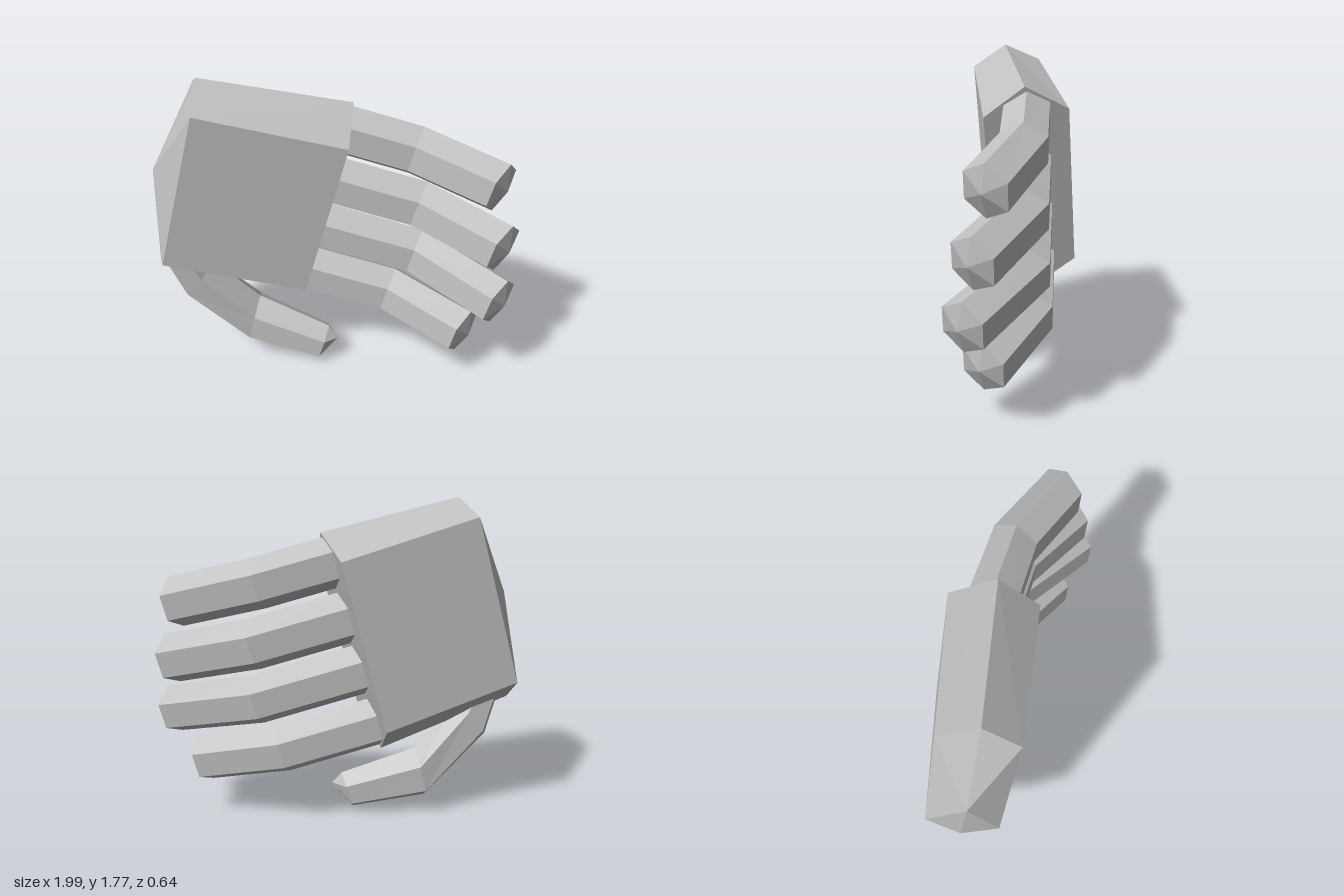
import * as THREE from 'three';

const V = (x, y, z) => new THREE.Vector3(x, y, z);

// Flat-shaded skin over a row of six-sided rings, closed by a point at each end
function loft(name, rings, startPoint, endPoint, material) {
  const corners = [];
  const n = rings[0].length;
  for (let i = 0; i < n; i++) {
    const j = (i + 1) % n;
    const last = rings[rings.length - 1];
    for (let k = 0; k < rings.length - 1; k++) {
      const a = rings[k], b = rings[k + 1];
      corners.push(a[i], a[j], b[i], a[j], b[j], b[i]);
    }
    corners.push(rings[0][j], rings[0][i], startPoint);
    corners.push(last[i], last[j], endPoint);
  }
  const geometry = new THREE.BufferGeometry().setFromPoints(corners);
  geometry.computeVertexNormals();
  const mesh = new THREE.Mesh(geometry, material);
  mesh.name = name;
  return mesh;
}

// Regular hexagon with one corner along "up"
function hexRing(center, up, side, radius) {
  return Array.from({ length: 6 }, (_, i) => {
    const t = (i * Math.PI) / 3;
    return center.clone()
      .addScaledVector(up, Math.cos(t) * radius)
      .addScaledVector(side, Math.sin(t) * radius);
  });
}

const Z = V(0, 0, 1);
const ALONG = V(0.966, -0.259, 0); // direction the fingers point
const UP = V(0.259, 0.966, 0);

// Finger bent forward at one knuckle
function finger(name, base, knee, tip, tilt, radius, material) {
  const ring = (center, degrees) => {
    const a = THREE.MathUtils.degToRad(degrees);
    const side = Z.clone().multiplyScalar(Math.cos(a)).addScaledVector(ALONG, -Math.sin(a));
    return hexRing(center, UP, side, radius);
  };
  const a = THREE.MathUtils.degToRad(tilt);
  const point = tip.clone()
    .addScaledVector(ALONG, 0.04 * Math.cos(a))
    .addScaledVector(Z, 0.04 * Math.sin(a));
  return loft(name, [ring(base, 0), ring(knee, 11), ring(tip, tilt)], base, point, material);
}

export function createModel() {
  const grey = new THREE.MeshStandardMaterial({ color: 0xc0c0c0, flatShading: true });
  grey.name = 'grey';
  const hand = new THREE.Group();
  hand.name = 'hand';

  // Palm: six-sided block with a blunt pointed wrist end
  const wrist = [
    V(-0.69, 1.78, 0.11), V(-0.69, 1.65, 0.3), V(-0.93, 0.74, 0.26),
    V(-1.0, 0.645, 0.06), V(-1.0, 0.78, -0.13), V(-0.76, 1.69, -0.09),
  ];
  const knuckles = [
    V(0.085, 1.615, -0.04), V(0.08, 1.45, 0.18), V(-0.16, 0.54, 0.14),
    V(-0.245, 0.415, -0.1), V(-0.24, 0.58, -0.32), V(0, 1.49, -0.275),
  ];
  hand.add(loft('palm', [wrist, knuckles], V(-0.97, 1.25, 0.11), V(-0.08, 1.015, -0.07), grey));

  // Fingers: tip centre, base x, base z, knee x, end tilt, radius
  const fingers = [
    ['indexFinger', V(0.865, 1.232, 0.105), 0.0, -0.05, 0.42, 30, 0.142],
    ['middleFinger', V(0.903, 0.9, 0.165), -0.07, -0.055, 0.45, 34, 0.145],
    ['ringFinger', V(0.905, 0.588, 0.215), -0.15, -0.065, 0.44, 34, 0.142],
    ['littleFinger', V(0.733, 0.313, 0.135), -0.22, -0.08, 0.3, 31, 0.14],
  ];
  for (const [name, tip, baseX, z, kneeX, tilt, radius] of fingers) {
    const onAxis = (x) => V(x, tip.y + (tip.x - x) * 0.268, z);
    hand.add(finger(name, onAxis(baseX), onAxis(kneeX), tip, tilt, radius, grey));
  }

  // Thumb: curves down from the lower corner of the wrist
  const thumbRings = [
    [V(-0.88, 0.72, 0.09), V(0.62, 0.78, 0), 0.11],
    [V(-0.79, 0.535, 0.05), V(0.63, 0.777, 0), 0.137],
    [V(-0.483, 0.23, -0.01), V(0.22, 0.975, 0), 0.148],
    [V(-0.073, 0.115, 0.04), V(0.3, 0.954, 0), 0.11],
  ].map(([center, up, radius]) => hexRing(center, up, Z, radius));
  hand.add(loft('thumb', thumbRings, V(-0.88, 0.72, 0.09), V(0.015, 0.15, 0.06), grey));

  return hand;
}
